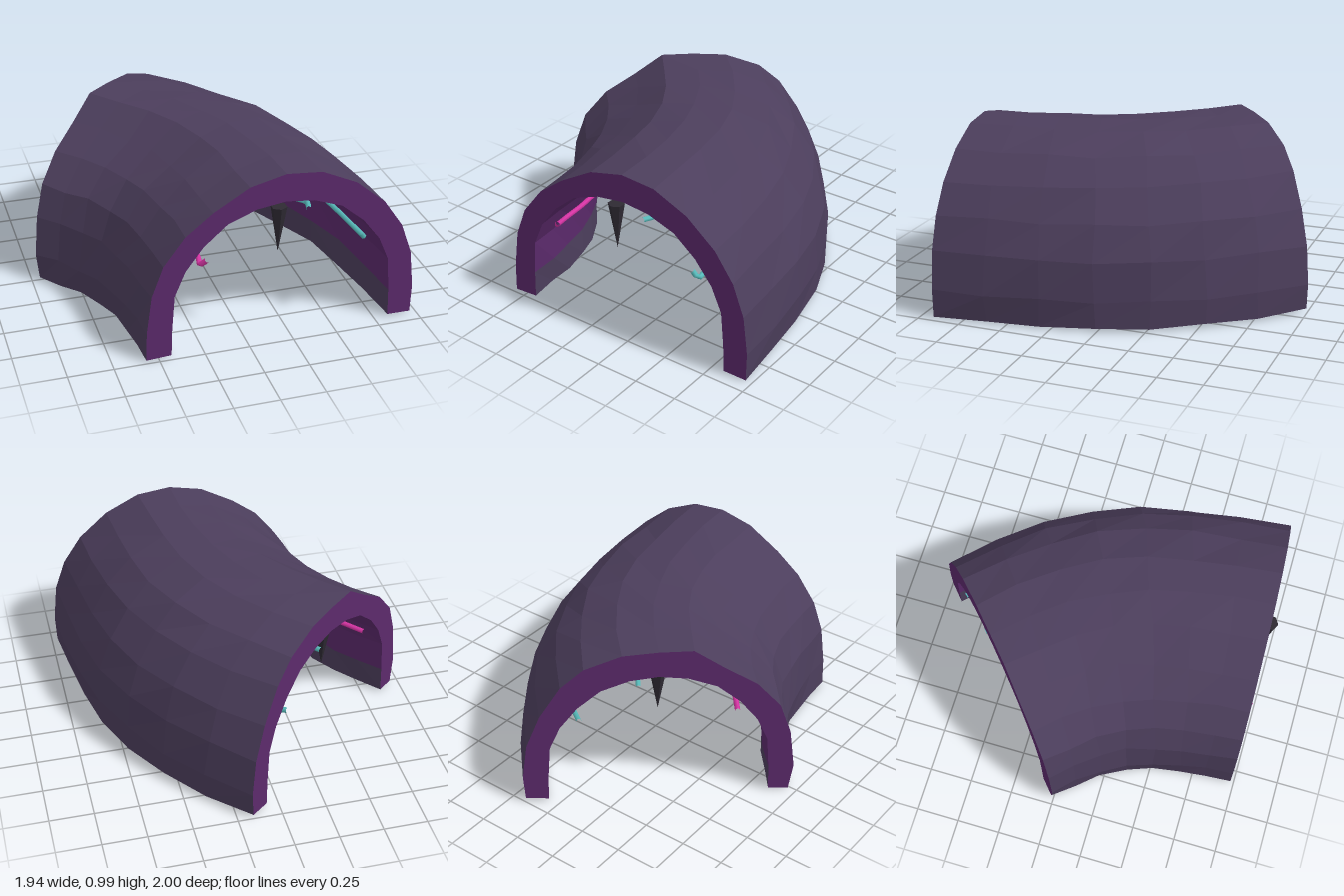
import * as THREE from 'three';

export function createModel() {
  const model = new THREE.Group();
  const mat = (name, color, flatShading = true) => {
    const m = new THREE.MeshStandardMaterial({ color, flatShading });
    m.name = name;
    return m;
  };
  const rock = mat('greyPurpleRock', 0x4c3e5c);
  const lining = mat('purpleLining', 0x5c2a6c);
  const dark = mat('darkSpike', 0x2e2a33);
  const teal = mat('tealGrowth', 0x58bcbc, false);
  const pink = mat('pinkGrowth', 0xd935a6, false);

  const add = (name, geometry, material) => {
    const mesh = new THREE.Mesh(geometry, material);
    mesh.name = name;
    model.add(mesh);
    return mesh;
  };

  // Plan curves followed by the two feet of the arch, front to back
  const curve = pts => new THREE.CatmullRomCurve3(pts.map(([x, z]) => new THREE.Vector3(x, 0, z)));
  const rightFoot = curve([[-0.57, 0.98], [-0.6, 0.72], [-0.69, 0.37], [-0.81, 0.18], [-0.97, 0]]);
  const leftFoot = curve([[0.97, 0.92], [0.92, 0.42], [0.85, 0.05], [0.76, -0.2], [0.5, -0.64], [0.17, -1]]);

  // Arch profiles (distance from axis, height), from the left foot over to the right
  const outerFront = [
    [0.765, 0.015], [0.77, 0.18], [0.745, 0.4], [0.68, 0.58], [0.57, 0.74], [0.4, 0.885], [0.2, 0.98], [0, 1],
    [-0.2, 0.955], [-0.4, 0.84], [-0.55, 0.725], [-0.67, 0.57], [-0.735, 0.4], [-0.765, 0.18], [-0.77, 0.015]];
  const outerBack = [
    [0.76, 0.03], [0.77, 0.18], [0.74, 0.4], [0.66, 0.6], [0.54, 0.79], [0.41, 0.905], [0.2, 0.985], [0, 1],
    [-0.19, 1], [-0.36, 0.88], [-0.54, 0.765], [-0.675, 0.61], [-0.74, 0.42], [-0.77, 0.18], [-0.745, 0.015]];
  const innerHalf = [[0.63, 0.02], [0.625, 0.18], [0.61, 0.38], [0.55, 0.52], [0.45, 0.65], [0.32, 0.76], [0.16, 0.82], [0, 0.84]];
  const innerArch = [...innerHalf, ...innerHalf.slice(0, -1).reverse().map(([v, y]) => [-v, y])];
  const outer = [outerFront, outerBack], inner = [innerArch, innerArch];
  const last = innerArch.length - 1;

  // Point on the blended arch at t along the tunnel and fractional step k around it
  const { lerp } = THREE.MathUtils;
  function surf([front, back], t, k) {
    const i = Math.min(Math.floor(k), last - 1), f = k - i;
    const at = c => lerp(lerp(front[i][c], front[i + 1][c], f), lerp(back[i][c], back[i + 1][c], f), t);
    const p = rightFoot.getPointAt(t).lerp(leftFoot.getPointAt(t), 0.5 + at(0) / 1.54);
    p.y = at(1) * (1 - 0.02 * t);
    return p;
  }

  // Grid of slightly uneven points for each skin
  const rows = 7;
  const grid = (profile, amount) => Array.from({ length: rows + 1 }, (_, i) =>
    innerArch.map((_, k) => {
      const p = surf(profile, i / rows, k);
      if (i > 0 && i < rows) {
        p.x += amount * Math.sin(i * 5.3 + k * 2.1);
        p.z += amount * Math.sin(i * 3.7 + k * 4.4);
        p.y += amount * Math.sin(i * 2.9 + k * 1.7) * (k === 7 ? 0.3 : 1);
      }
      return p;
    }));
  const O = grid(outer, 0.007), I = grid(inner, 0.007);

  const shellPos = [], liningPos = [];
  const quad = (out, a, b, c, d) => [a, b, c, a, c, d].forEach(p => out.push(p.x, p.y, p.z));
  for (let i = 0; i < rows; i++) {
    const j = i + 1;
    for (let k = 0; k < last; k++) {
      quad(shellPos, O[i][k], O[j][k], O[j][k + 1], O[i][k + 1]);
      // The lowest band of the inside keeps the rock colour
      const skirt = k === 0 || k === last - 1;
      quad(skirt ? shellPos : liningPos, I[i][k], I[i][k + 1], I[j][k + 1], I[j][k]);
    }
    // Undersides of both feet
    quad(shellPos, O[i][0], I[i][0], I[j][0], O[j][0]);
    quad(shellPos, O[i][last], O[j][last], I[j][last], I[i][last]);
  }
  // Front and back rims
  for (let k = 0; k < last; k++) {
    quad(liningPos, O[0][k], O[0][k + 1], I[0][k + 1], I[0][k]);
    quad(liningPos, O[rows][k], I[rows][k], I[rows][k + 1], O[rows][k + 1]);
  }
  const fromQuads = pos => {
    const g = new THREE.BufferGeometry();
    g.setAttribute('position', new THREE.Float32BufferAttribute(pos, 3));
    g.computeVertexNormals();
    return g;
  };
  add('tunnelShell', fromQuads(shellPos), rock);
  add('tunnelLiningAndRims', fromQuads(liningPos), lining);

  // Point standing off the inner wall towards the tunnel axis
  function offWall(t, k, gap) {
    const p = surf(inner, t, k);
    const axis = surf(inner, t, 7).setY(0.4);
    return p.add(axis.sub(p).setLength(gap));
  }

  // Veins creeping along the inside: [t, step around the arch]
  function vein(name, material, gap, steps) {
    const path = new THREE.CatmullRomCurve3(steps.map(([t, k]) => offWall(t, k, gap)), false, 'catmullrom', 0.3);
    add(name, new THREE.TubeGeometry(path, 64, 0.015, 6), material);
  }
  vein('leftWallVein', teal, 0.06,
    [[0, 3.6], [0.01, 3.25], [0.13, 3.4], [0.26, 3.45], [0.36, 3.1], [0.52, 3.45], [0.68, 3.45], [0.86, 3.15], [1, 3.5]]);
  vein('ceilingVein', teal, 0.05,
    [[0, 6.1], [0.05, 5.9], [0.1, 6.4], [0.18, 6.0], [0.4, 6.5], [0.6, 6.1], [0.8, 6.3], [1, 6.2]]);
  vein('rightWallVein', pink, 0.065,
    [[0, 10.45], [0.02, 10.75], [0.07, 10.6], [0.2, 10.7], [0.38, 10.6], [0.55, 10.35], [0.7, 10.55], [0.97, 10.55]]);

  // Flat fungus patches standing just off the walls
  function patch(name, material, t, k, length, width, tilt) {
    const g = new THREE.SphereGeometry(1, 10, 6);
    g.scale(length, width, 0.03);
    g.rotateZ(tilt);
    const mesh = add(name, g, material);
    mesh.position.copy(offWall(t, k, 0.06));
    mesh.lookAt(surf(inner, t, 7).setY(mesh.position.y - 0.15));
  }
  patch('leftWallPatch', pink, 0.55, 2.75, 0.12, 0.045, -0.4);
  patch('smallLeftWallPatch', pink, 0.48, 3.85, 0.05, 0.018, -0.6);
  patch('rightWallPatch', teal, 0.58, 11.6, 0.1, 0.06, 0.6);

  // Stalactites hanging from the ceiling: x, z, radius, length
  for (const [x, z, r, h] of [[0.16, 0.95, 0.045, 0.27], [0.1, -0.08, 0.05, 0.26], [-0.36, -0.46, 0.045, 0.24]]) {
    const g = new THREE.ConeGeometry(r, h, 6);
    g.rotateX(Math.PI);
    add('stalactite', g, dark).position.set(x, 0.82 - h / 2, z);
  }
  return model;
}
